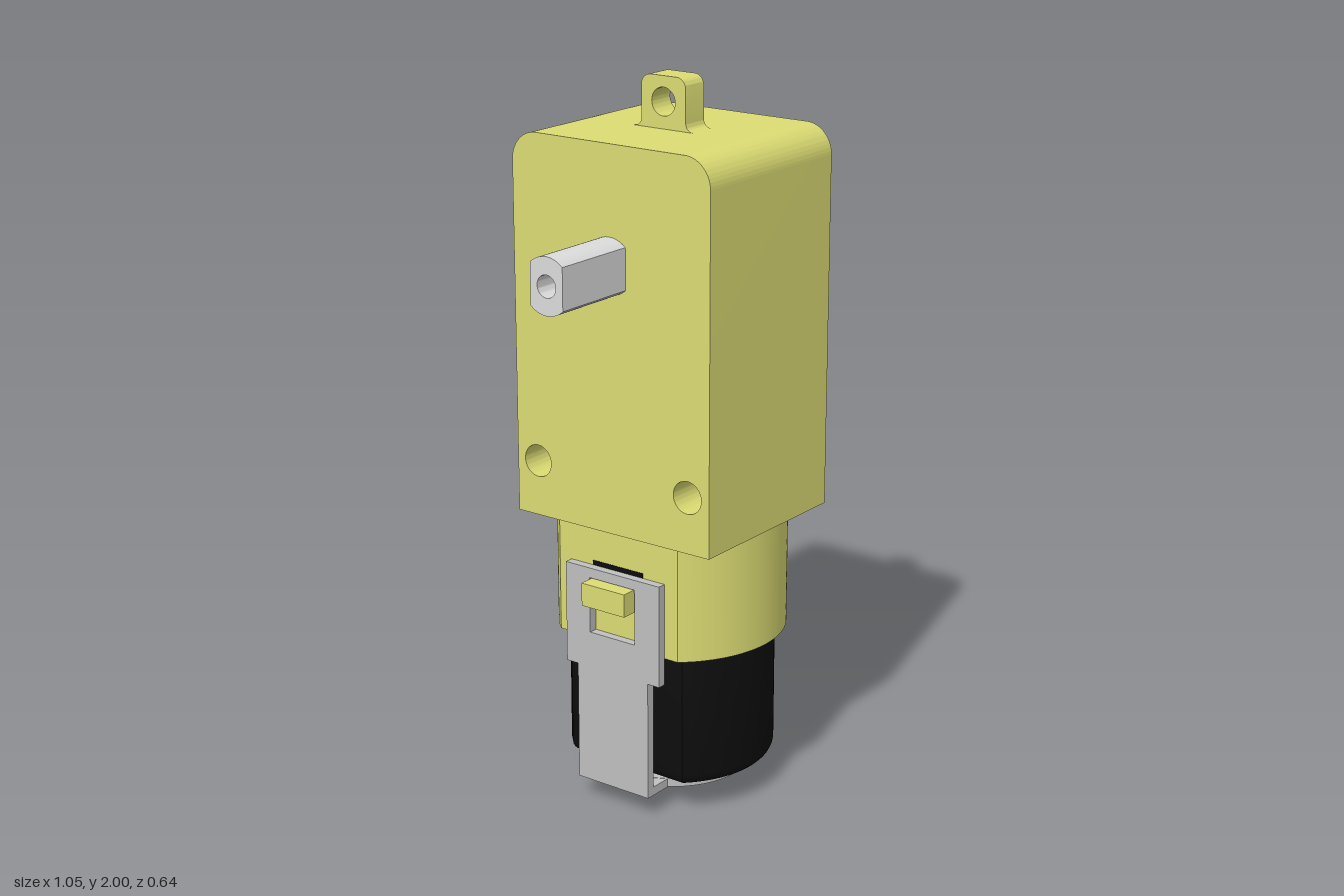
import * as THREE from 'three';
import { toCreasedNormals } from 'three/addons/utils/BufferGeometryUtils.js';

const material = (name, color) => {
  const m = new THREE.MeshStandardMaterial({ color });
  m.name = name;
  return m;
};

// Circle of radius r cut flat at x = -w and x = w
function flattedCircle(r, w) {
  const a = Math.acos(w / r);
  const s = new THREE.Shape();
  s.absarc(0, 0, r, a, Math.PI - a);
  s.absarc(0, 0, r, Math.PI + a, 2 * Math.PI - a);
  s.closePath();
  return s;
}

function polygon(points) {
  return new THREE.Shape(points.map(([x, y]) => new THREE.Vector2(x, y)));
}

function addHole(shape, x, y, r) {
  const h = new THREE.Path();
  h.absarc(x, y, r, 0, 2 * Math.PI, true);
  shape.holes.push(h);
}

function extrude(shape, depth, options = {}) {
  return new THREE.ExtrudeGeometry(shape, { depth, bevelEnabled: false, curveSegments: 24, ...options });
}

// Profile in the z-y plane, extruded from x0 to x1
function alongX(shape, x0, x1) {
  const g = extrude(shape, x1 - x0).rotateY(Math.PI / 2).translate(x0, 0, 0);
  return toCreasedNormals(g, 0.5);
}

// Profile in the x-z plane, extruded from y0 to y1
function alongY(shape, y0, y1) {
  const g = extrude(shape, y1 - y0).rotateX(-Math.PI / 2).translate(0, y0, 0);
  return toCreasedNormals(g, 0.5);
}

export function createModel() {
  const yellow = material('yellow plastic', 0xdcdc74);
  const black = material('black motor', 0x0d0d0d);
  const steel = material('strap grey', 0xc0c0c0);
  const pale = material('shaft grey', 0xdcdcdc);
  const model = new THREE.Group();
  model.name = 'gearMotor';

  const add = (name, geometry, mat) => {
    const mesh = new THREE.Mesh(geometry, mat);
    mesh.name = name;
    model.add(mesh);
    return mesh;
  };
  const box = (name, mat, x0, x1, y0, y1, halfZ) =>
    add(name, new THREE.BoxGeometry(x1 - x0, y1 - y0, 2 * halfZ)
      .translate((x0 + x1) / 2, (y0 + y1) / 2, 0), mat);

  // Gearbox with rounded top and two mounting holes
  const body = new THREE.Shape();
  body.moveTo(-0.32, 0.805);
  body.lineTo(0.32, 0.805);
  body.absarc(0.24, 1.78, 0.08, 0, Math.PI / 2);
  body.absarc(-0.24, 1.78, 0.08, Math.PI / 2, Math.PI);
  body.closePath();
  for (const z of [-0.25, 0.25]) addHole(body, z, 0.96, 0.045);
  add('gearbox', alongX(body, -0.272, 0.272), yellow);

  // Top mounting tab with filleted foot
  const tab = new THREE.Shape();
  tab.moveTo(-0.1, 1.85);
  tab.lineTo(0.1, 1.85);
  tab.lineTo(0.1, 1.86);
  tab.quadraticCurveTo(0.072, 1.86, 0.072, 1.885);
  tab.absarc(0.042, 1.97, 0.03, 0, Math.PI / 2);
  tab.absarc(-0.042, 1.97, 0.03, Math.PI / 2, Math.PI);
  tab.lineTo(-0.072, 1.885);
  tab.quadraticCurveTo(-0.072, 1.86, -0.1, 1.86);
  tab.closePath();
  addHole(tab, 0, 1.932, 0.038);
  add('mountingTab', alongX(tab, -0.04, 0.04), yellow);

  // Output shaft with two flats and blind end holes
  const shaft = flattedCircle(0.077, 0.052);
  addHole(shaft, 0, 0, 0.03);
  add('outputShaft', alongX(shaft, -0.527, 0.527).translate(0, 1.54, 0), pale);
  add('shaftCore', new THREE.CylinderGeometry(0.031, 0.031, 0.86, 24)
    .rotateZ(Math.PI / 2).translate(0, 1.54, 0), pale);

  // Locating peg on one side
  add('locatingPeg', new THREE.CylinderGeometry(0.055, 0.055, 0.06, 32)
    .rotateZ(Math.PI / 2).translate(0.283, 1.205, 0), yellow);

  // Collar holding the motor
  add('collar', alongY(flattedCircle(0.317, 0.246), 0.475, 0.81), yellow);

  // Motor can with rounded lower rim
  const bevel = 0.035;
  const can = extrude(flattedCircle(0.285 - bevel, 0.213 - bevel), 0.36, {
    bevelEnabled: true, bevelSize: bevel, bevelThickness: bevel, bevelSegments: 5,
  }).rotateX(-Math.PI / 2).translate(0, 0.09 + bevel, 0);
  add('motorCan', toCreasedNormals(can, 0.5), black);
  box('motorTerminal', black, 0.2, 0.245, 0.092, 0.23, 0.1);

  // Motor end boss and pin
  add('endBoss', alongY(flattedCircle(0.14, 0.11), 0.035, 0.09), black);
  add('motorPin', new THREE.CylinderGeometry(0.028, 0.028, 0.04, 24).translate(0, 0.02, 0), black);

  // Clamp strap: round base plate, cross bar and two windowed arms
  add('strapDisc', new THREE.CylinderGeometry(0.22, 0.22, 0.025, 48).translate(0, 0.0735, 0), steel);
  box('strapBase', steel, -0.25, 0.25, 0.06, 0.085, 0.12);
  const arm = polygon([[-0.12, 0.06], [0.12, 0.06], [0.12, 0.4], [0.158, 0.4],
    [0.158, 0.69], [-0.158, 0.69], [-0.158, 0.4], [-0.12, 0.4]]);
  arm.holes.push(polygon([[-0.076, 0.503], [-0.076, 0.662], [0.076, 0.662], [0.076, 0.503]]));
  for (const [side, s] of [['left', 1], ['right', -1]]) {
    add(side + 'StrapArm', alongX(arm, -0.0125, 0.0125).translate(s * 0.2605, 0, 0), steel);
    box(side + 'Latch', yellow, s > 0 ? 0.24 : -0.313, s > 0 ? 0.313 : -0.24, 0.595, 0.66, 0.072);
    box(side + 'ArmLining', black, s > 0 ? 0.24 : -0.2475, s > 0 ? 0.2475 : -0.24, 0.665, 0.703, 0.085);
  }
  return model;
}
